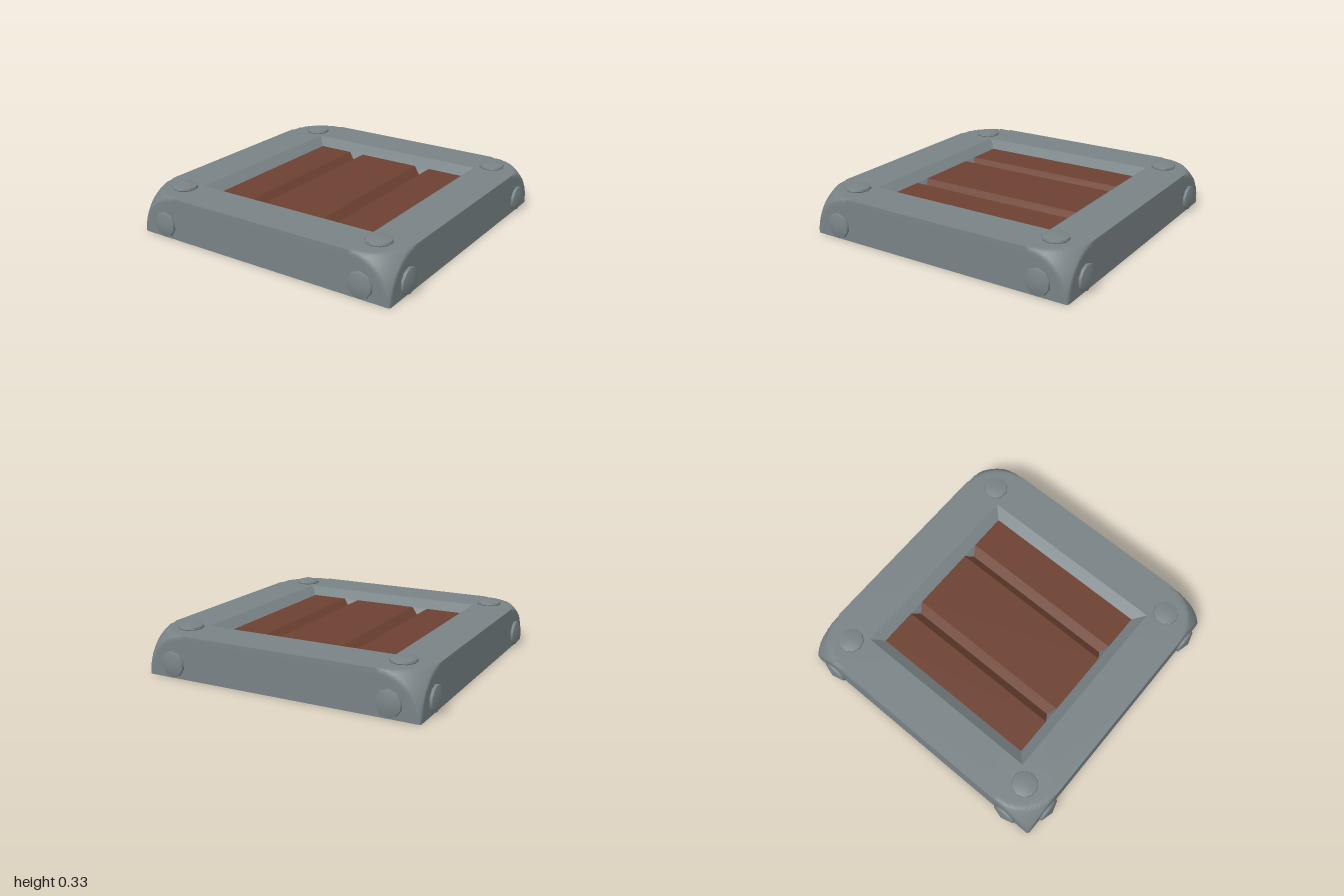
import * as THREE from 'three';
import { mergeGeometries, toCreasedNormals } from 'three/addons/utils/BufferGeometryUtils.js';

const R = 0.957, H = 0.289;      // outer half width and height of the frame
const CUT = 0.285;               // reach of the rounded top corners
const LIMIT = 1.395;             // corner roundness, just inside the straight edges
const OPEN = 0.67, PANEL = 0.6;  // half widths of the opening and the panel
const TOP = 0.235, BOTTOM = 0.11; // panel heights

// Pulls the corners in onto a sphere; straight edges stay sharp
function roundCorner(p) {
  const c = R - CUT;
  const u = Math.max(0, Math.abs(p.x) - c) / CUT;
  const w = Math.max(0, Math.abs(p.z) - c) / CUT;
  const v = p.y / H;
  const len = Math.hypot(u, v, w);
  if (u > 0 && w > 0 && len > LIMIT) {
    const k = LIMIT / len;
    p.set(Math.sign(p.x) * (c + u * k * CUT), v * k * H, Math.sign(p.z) * (c + w * k * CUT));
  }
  return p;
}

// One mitred side of the square frame swept along a profile of [half width, height]
function sideStrip(profile) {
  const ts = [];
  for (let i = 0; i <= 16; i++) ts.push(-1 + 0.3 * i / 16);
  for (let i = 0; i <= 16; i++) ts.push(0.7 + 0.3 * i / 16);
  const pos = [], index = [], n = ts.length;
  profile.forEach(([r, y], j) => ts.forEach((t, i) => {
    const p = roundCorner(new THREE.Vector3(t * r, y, r));
    pos.push(p.x, p.y, p.z);
    if (j && i) {
      const b = j * n + i, a = b - n;
      index.push(a - 1, a, b, a - 1, b, b - 1);
    }
  }));
  const g = new THREE.BufferGeometry();
  g.setAttribute('position', new THREE.Float32BufferAttribute(pos, 3));
  g.setIndex(index);
  return g;
}

// Repeats a side around the square
function fourSides(geometry) {
  return mergeGeometries([0, 1, 2, 3].map(k => geometry.clone().rotateY(k * Math.PI / 2)));
}

export function createModel() {
  const model = new THREE.Group();
  model.name = 'woodPanelTile';
  const metal = new THREE.MeshStandardMaterial({ color: 0x788285 });
  const wood = new THREE.MeshStandardMaterial({ color: 0x6c4030 });
  const add = (parent, name, geometry, material) => {
    const mesh = new THREE.Mesh(geometry, material);
    mesh.name = name;
    parent.add(mesh);
    return mesh;
  };

  // Outer wall and top of the frame, finely divided for the rounded corners
  const outer = [];
  for (let i = 0; i <= 16; i++) outer.push([R, H * i / 16]);
  for (let i = 1; i <= 16; i++) outer.push([R - (R - OPEN) * i / 16, H]);
  add(model, 'frameShell', toCreasedNormals(fourSides(sideStrip(outer)), 0.9), metal);

  // Sloped walls around the planks
  const slope = [[OPEN, H], [PANEL, TOP], [0.565, 0.18]];
  add(model, 'frameSlope', toCreasedNormals(fourSides(sideStrip(slope)), 0.1), metal);

  // Upright walls of the recess below, and the flat underside
  const recess = [[OPEN, BOTTOM], [OPEN, 0], [R, 0]];
  add(model, 'frameUnderside', toCreasedNormals(fourSides(sideStrip(recess)), 0.1), metal);

  // Three planks divided by V grooves
  const shape = new THREE.Shape();
  shape.moveTo(-PANEL, BOTTOM + 0.01);
  shape.lineTo(PANEL, BOTTOM + 0.01);
  shape.lineTo(PANEL, TOP);
  for (const x of [0.285, -0.285]) {
    shape.lineTo(x + 0.057, TOP);
    shape.lineTo(x, TOP - 0.053);
    shape.lineTo(x - 0.057, TOP);
  }
  shape.lineTo(-PANEL, TOP);
  const planks = new THREE.ExtrudeGeometry(shape, { depth: 2 * PANEL, bevelEnabled: false });
  add(model, 'planks', planks.translate(0, 0, -PANEL), wood);

  // Flat board that closes the recess
  const board = new THREE.BoxGeometry(2 * OPEN, 0.02, 2 * OPEN);
  add(model, 'backBoard', board, wood).position.y = BOTTOM + 0.01;

  // Domed rivets: one on top and two on the outside for each side
  const profile = [[0.08, -0.012], [0.087, 0.006], [0.083, 0.018], [0, 0.042]];
  const rivet = toCreasedNormals(
    new THREE.LatheGeometry(profile.map(([r, y]) => new THREE.Vector2(r, y)), 10), 0.65);
  for (let k = 0; k < 4; k++) {
    const side = new THREE.Group();
    side.name = 'sideRivets';
    side.rotation.y = k * Math.PI / 2;
    model.add(side);
    add(side, 'topRivet', rivet, metal).position.set(0.76, H, 0.76);
    for (const x of [-0.76, 0.76]) {
      const outerRivet = add(side, 'outerRivet', rivet, metal);
      outerRivet.position.set(x, 0.095, R);
      outerRivet.rotation.x = Math.PI / 2;
    }
  }
  return model;
}
